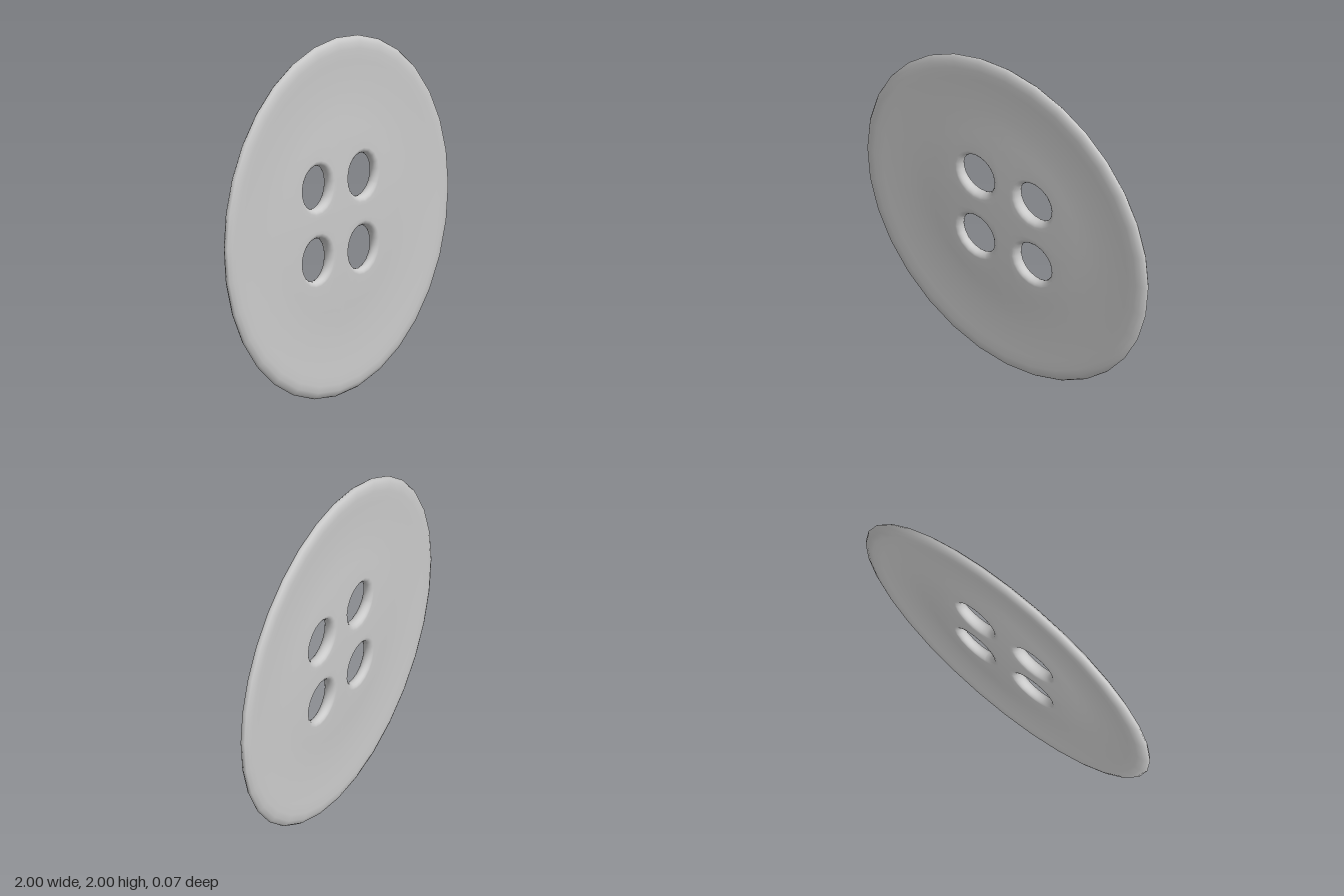
import * as THREE from 'three';
import { mergeGeometries, mergeVertices } from 'three/addons/utils/BufferGeometryUtils.js';

const SIDES = 32;      // facets around the rim
const R = 0.6;         // radius of the domed centre
const EDGE = 0.022;    // half thickness where the dome ends
const DOME = 0.015;    // extra half thickness in the middle
const HOLE_POS = 0.202, HOLE_R = 0.12, HOLE_ROUND = 0.03;

const halfThickness = (r) => EDGE + DOME * Math.max(0, 1 - (r / R) ** 2);

// Outer ring with a softly raised, rounded rim
function ringGeometry() {
  const half = [[R, EDGE], [0.68, 0.021], [0.78, 0.021], [0.87, 0.024], [0.93, 0.026], [0.965, 0.023], [0.99, 0.013]];
  const profile = [
    ...half.map(([r, z]) => new THREE.Vector2(r, -z)),
    new THREE.Vector2(1, 0),
    ...half.slice().reverse().map(([r, z]) => new THREE.Vector2(r, z)),
  ];
  return new THREE.LatheGeometry(profile, SIDES).rotateX(Math.PI / 2);
}

// One quarter of the domed centre, wrapped around its thread hole
function quarterGeometry() {
  // Outline of the quarter: along x, along the arc, back down y
  const outline = [], n = 8;
  for (let i = 0; i < n; i++) outline.push([R * i / n, 0]);
  for (let i = 0; i < n; i++) {
    const a = i / n * Math.PI / 2;
    outline.push([R * Math.cos(a), R * Math.sin(a)]);
  }
  for (let i = 0; i <= n; i++) outline.push([0, R * (1 - i / n)]);

  // Rows run from the front outline, through the hole, to the back outline
  const rows = [];
  for (const t of [1, 0.66, 0.33]) rows.push({ t, a: Math.PI / 2 });
  for (let k = 4; k >= -4; k--) rows.push({ t: 0, a: k * Math.PI / 8 });
  for (const t of [0.33, 0.66, 1]) rows.push({ t, a: -Math.PI / 2 });

  const positions = [], index = [], w = outline.length;
  rows.forEach(({ t, a }, j) => {
    outline.forEach(([ox, oy], i) => {
      const angle = Math.atan2(oy - HOLE_POS, ox - HOLE_POS);
      const d = HOLE_R + HOLE_ROUND * (1 - Math.cos(a));
      const x = THREE.MathUtils.lerp(HOLE_POS + d * Math.cos(angle), ox, t);
      const y = THREE.MathUtils.lerp(HOLE_POS + d * Math.sin(angle), oy, t);
      positions.push(x, y, halfThickness(Math.hypot(x, y)) * Math.sin(a));
      if (j < rows.length - 1 && i < w - 1) {
        const p = j * w + i;
        index.push(p, p + 1, p + w, p + 1, p + w + 1, p + w);
      }
    });
  });
  const geometry = new THREE.BufferGeometry();
  geometry.setAttribute('position', new THREE.Float32BufferAttribute(positions, 3));
  geometry.setIndex(index);
  return geometry;
}

export function createModel() {
  const parts = [ringGeometry()];
  for (let q = 0; q < 4; q++) parts.push(quarterGeometry().rotateZ(q * Math.PI / 2));

  // Weld everything into one smooth surface
  for (const part of parts) {
    part.deleteAttribute('normal');
    part.deleteAttribute('uv');
  }
  const geometry = mergeVertices(mergeGeometries(parts), 1e-4);
  geometry.computeVertexNormals();

  const disc = new THREE.Mesh(geometry, new THREE.MeshStandardMaterial({ color: 0xcccccc }));
  disc.name = 'buttonDisc';
  disc.position.y = 1;

  const group = new THREE.Group();
  group.name = 'button';
  group.add(disc);
  return group;
}
